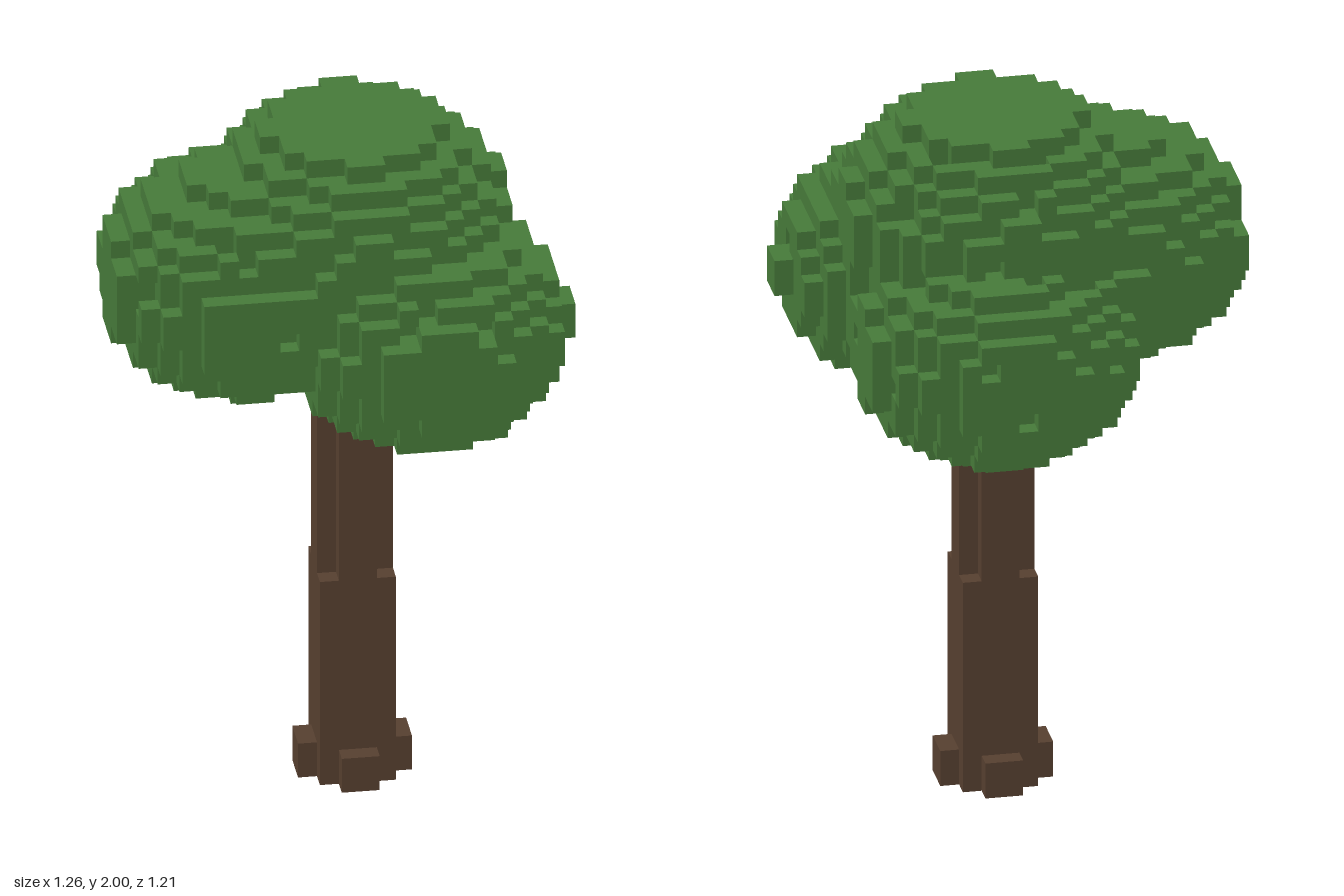
import * as THREE from 'three';

const V = 2 / 38; // voxel edge length; all sizes below are in voxels

// Leaf clumps: centre and radii
const CLUMPS = [
  { c: [-5, 30, 1.3], r: [7.4, 5.95, 7.4] },
  { c: [1.85, 27, -4.5], r: [7.4, 5.95, 7.4] },
  { c: [4.2, 28, 4.5], r: [7.4, 5.95, 7.4] },
  { c: [1, 31.8, 0.5], r: [8.17, 6.95, 8.17] },
];

const NEIGHBOURS = [0, 1, 2].flatMap((axis) => [-1, 1].map((sign) => {
  const n = [0, 0, 0];
  n[axis] = sign;
  return { axis, sign, n };
}));

// Repeatable pseudo-random value for a cell
function hash(x, y, z) {
  const s = Math.sin(x * 12.9898 + y * 78.233 + z * 37.719) * 43758.5453;
  return s - Math.floor(s);
}

// Is the cell centred here inside a clump?
function isSolid(x, y, z) {
  return y < 38 && CLUMPS.some(({ c, r }) =>
    ((x - c[0]) / r[0]) ** 2 + ((y - c[1]) / r[1]) ** 2 + ((z - c[2]) / r[2]) ** 2 < 1);
}

// Solid cells, less a few pits scattered over the outer layer
function isLeaf(x, y, z) {
  if (!isSolid(x, y, z)) return false;
  return hash(x, y, z) > 0.05
    || NEIGHBOURS.every(({ n }) => isSolid(x + n[0], y + n[1], z + n[2]));
}

// Exposed cube faces of all filled cells
function voxelGeometry(filled) {
  const pos = [], nor = [];
  const addFace = (centre, { axis, sign, n }) => {
    const u = (axis + 1) % 3, v = (axis + 2) % 3;
    const corners = [[-1, -1], [1, -1], [1, 1], [-1, 1]].map(([a, b]) => {
      const p = [...centre];
      p[axis] += sign * 0.5;
      p[u] += a * 0.5 * sign; // mirrored for negative faces to keep them outward
      p[v] += b * 0.5;
      return p;
    });
    for (const i of [0, 1, 2, 0, 2, 3]) {
      pos.push(...corners[i].map((k) => k * V));
      nor.push(...n);
    }
  };
  for (let x = -12.5; x < 13; x++)
    for (let y = 18.5; y < 39; y++)
      for (let z = -12; z <= 12; z++) {
        if (!filled(x, y, z)) continue;
        for (const side of NEIGHBOURS) {
          const [dx, dy, dz] = side.n;
          if (!filled(x + dx, y + dy, z + dz)) addFace([x, y, z], side);
        }
      }
  const g = new THREE.BufferGeometry();
  g.setAttribute('position', new THREE.Float32BufferAttribute(pos, 3));
  g.setAttribute('normal', new THREE.Float32BufferAttribute(nor, 3));
  return g;
}

export function createModel() {
  const bark = new THREE.MeshStandardMaterial({ color: 0x574030 });
  bark.name = 'bark brown';
  const leaf = new THREE.MeshStandardMaterial({ color: 0x477b3a });
  leaf.name = 'leaf green';

  const tree = new THREE.Group();
  tree.name = 'tree';
  const trunk = new THREE.Group();
  trunk.name = 'trunk';
  tree.add(trunk);

  // Box between two corners given in voxels
  const box = (name, a, b) => {
    const s = b.map((k, i) => (k - a[i]) * V);
    const m = new THREE.Mesh(new THREE.BoxGeometry(...s), bark);
    m.position.set(...b.map((k, i) => (k + a[i]) * V / 2));
    m.name = name;
    trunk.add(m);
  };

  // Square lower trunk, cross-shaped upper trunk
  box('lowerTrunk', [-1, 0, -1.5], [3, 12, 2.5]);
  box('upperTrunkAcross', [-1, 12, -0.5], [3, 25, 1.5]);
  box('upperTrunkDeep', [0, 12, -1.5], [2, 25, 2.5]);
  // Roots, one on each side
  box('rootLeft', [3, 0, -0.5], [4, 2, 1.5]);
  box('rootRight', [-2, 0, -0.5], [-1, 2, 1.5]);
  box('rootFront', [0, 0, 2.5], [2, 2, 3.5]);
  box('rootBack', [0, 0, -2.5], [2, 2, -1.5]);
  // Short branch stubs reaching into the leaves
  box('branchRight', [-2, 23, -0.5], [-1, 25, 1.5]);
  box('branchBack', [1, 20, -2.5], [2, 25, -1.5]);

  const canopy = new THREE.Mesh(voxelGeometry(isLeaf), leaf);
  canopy.name = 'canopy';
  tree.add(canopy);
  return tree;
}
